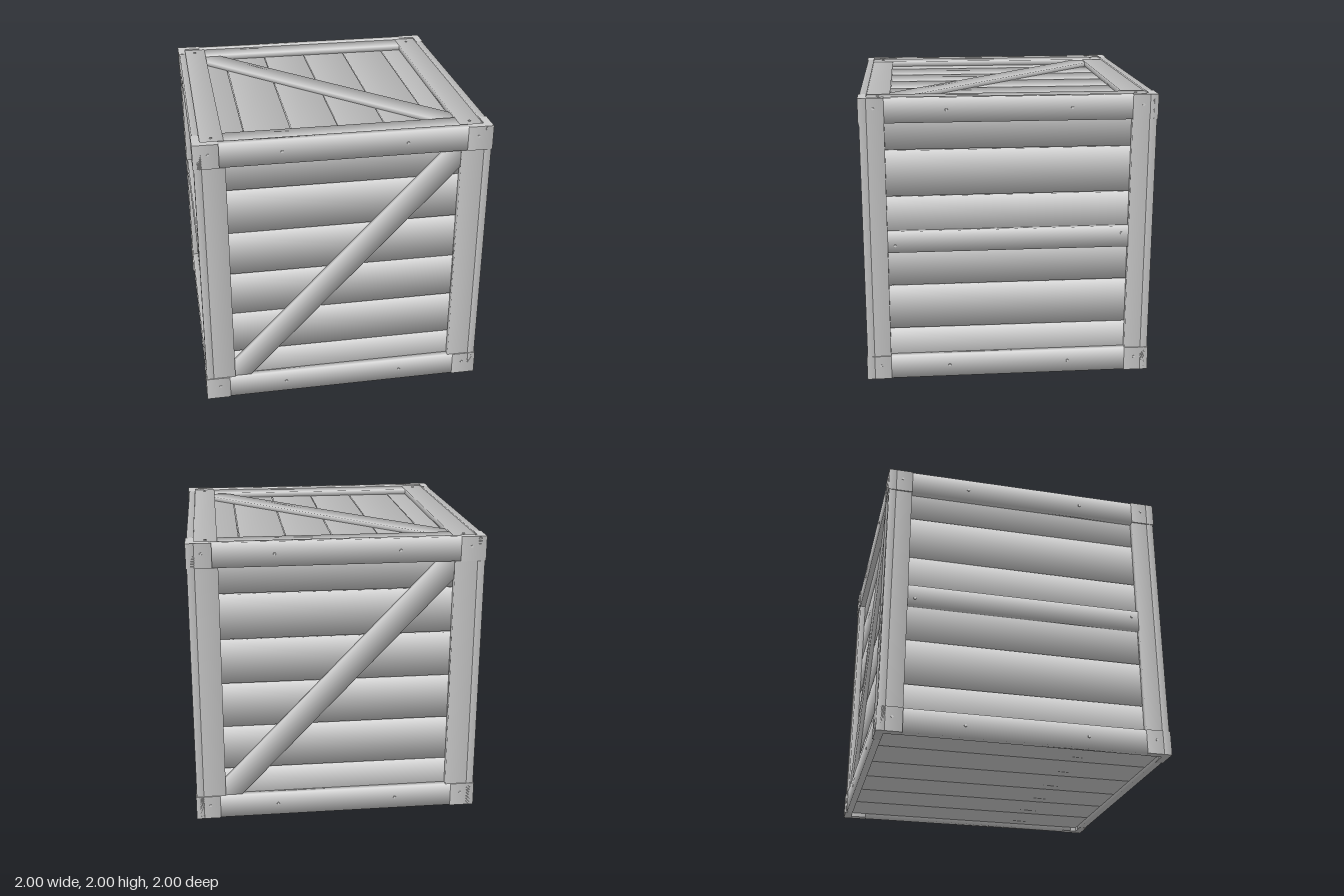
import * as THREE from 'three';

const wood = new THREE.MeshStandardMaterial({ color: 0xcccccc });

// Box from min to max along each axis; its four long sides share soft normals, its ends are flat.
function board(parent, name, [x0, x1], [y0, y1], [z0, z1], axis) {
  const g = new THREE.CylinderGeometry(Math.SQRT1_2, Math.SQRT1_2, 1, 4, 1, false, Math.PI / 4);
  if (axis === 'x') g.rotateZ(-Math.PI / 2);
  if (axis === 'z') g.rotateX(Math.PI / 2);
  const p = g.attributes.position;
  for (let i = 0; i < p.count; i++) {
    p.setXYZ(i, p.getX(i) * (x1 - x0), p.getY(i) * (y1 - y0), p.getZ(i) * (z1 - z0));
  }
  const m = new THREE.Mesh(g, wood);
  m.name = name;
  m.position.set((x0 + x1) / 2, (y0 + y1) / 2, (z0 + z1) / 2);
  parent.add(m);
  return m;
}

// Small nail head on a panel facing +z
function nail(parent, x, y, z) {
  const m = new THREE.Mesh(new THREE.CylinderGeometry(0.009, 0.011, 0.008, 8), wood);
  m.name = 'nail';
  m.rotation.x = Math.PI / 2;
  m.position.set(x, y, z);
  parent.add(m);
}

// Six planks stacked up the panel, each very slightly skewed
const skew = [0.001, -0.0015, 0.001, -0.001, 0.0015, -0.001];
function planks(parent, half, z0, z1) {
  for (let i = 0; i < 6; i++) {
    const y = 0.04 + i * 0.32;
    const m = board(parent, 'plank', [-half, half], [y + 0.003, y + 0.317], [z0, z1], 'x');
    m.rotation.z = skew[i];
  }
}

// Upright panel facing +z: planks, rails, posts and corner plates
function wall(name, postInner, half) {
  const w = new THREE.Group();
  w.name = name;
  planks(w, half, 0.9, 0.95);
  for (const [y0, y1] of [[0, 0.17], [1.83, 2]]) {
    board(w, 'rail', [-0.9, 0.9], [y0 + 0.001, y1 - 0.001], [0.945, 0.992], 'x');
    const c = (y0 + y1) / 2;
    for (const s of [-1, 1]) {
      const xs = s < 0 ? [-1, -0.83] : [0.83, 1];
      board(w, 'cornerPlate', xs, [y0, y1], [0.945, 1], 'y');
      nail(w, s * 0.42, c, 0.993);
      nail(w, s * 0.9, c + 0.015, 0.998);
    }
  }
  for (const s of [-1, 1]) {
    const xs = s < 0 ? [-0.995, -postInner] : [postInner, 0.995];
    board(w, 'post', xs, [0.17, 1.83], [0.945, 0.992], 'y');
  }
  return w;
}

export function createModel() {
  const crate = new THREE.Group();
  crate.name = 'crate';

  for (const turn of [0, Math.PI]) {
    // Front and back, with a diagonal brace
    const f = wall(turn ? 'backWall' : 'frontWall', 0.79, 0.94);
    const brace = board(f, 'diagonalBrace', [-1.145, 1.145], [0.915, 1.085], [0.94, 0.98], 'x');
    brace.rotation.z = Math.atan2(1.66, 1.58);
    f.rotation.y = turn;
    crate.add(f);

    // Right and left, with a middle rail
    const s = wall(turn ? 'rightWall' : 'leftWall', 0.83, 0.9);
    board(s, 'middleRail', [-0.835, 0.835], [0.93, 1.08], [0.945, 0.985], 'x');
    nail(s, -0.78, 0.98, 0.986);
    nail(s, 0.78, 1.03, 0.986);
    s.rotation.y = turn + Math.PI / 2;
    crate.add(s);
  }

  // Lid: planks along z, frame boards and a diagonal brace
  const lid = new THREE.Group();
  lid.name = 'lid';
  const floor = new THREE.Group();
  floor.name = 'floor';
  for (let i = 0; i < 6; i++) {
    const xs = [-0.957 + i * 0.32, -0.643 + i * 0.32].map((x) => THREE.MathUtils.clamp(x, -0.945, 0.945));
    board(lid, 'lidPlank', xs, [1.9, 1.95], [-0.94, 0.94], 'z').rotation.y = skew[i];
    board(floor, 'floorPlank', xs, [0.03, 0.08], [-0.945, 0.945], 'z').rotation.y = skew[i];
  }
  for (const s of [-1, 1]) {
    const side = s < 0 ? [-0.95, -0.79] : [0.79, 0.95];
    board(lid, 'lidSideBoard', side, [1.945, 1.99], [-0.95, 0.95], 'z');
    board(lid, 'lidEndBoard', [-0.79, 0.79], [1.945, 1.988], side, 'x');
    for (const t of [-1, 1]) {
      const n = new THREE.Group();
      n.name = 'lidNail';
      nail(n, 0, 0, 0);
      n.rotation.x = -Math.PI / 2;
      n.position.set(s * 0.87, 1.991, t * 0.87);
      lid.add(n);
    }
  }
  const brace = board(lid, 'lidBrace', [-1.11, 1.11], [1.94, 1.98], [-0.085, 0.085], 'x');
  brace.rotation.y = -Math.PI / 4;
  crate.add(lid, floor);

  return crate;
}
